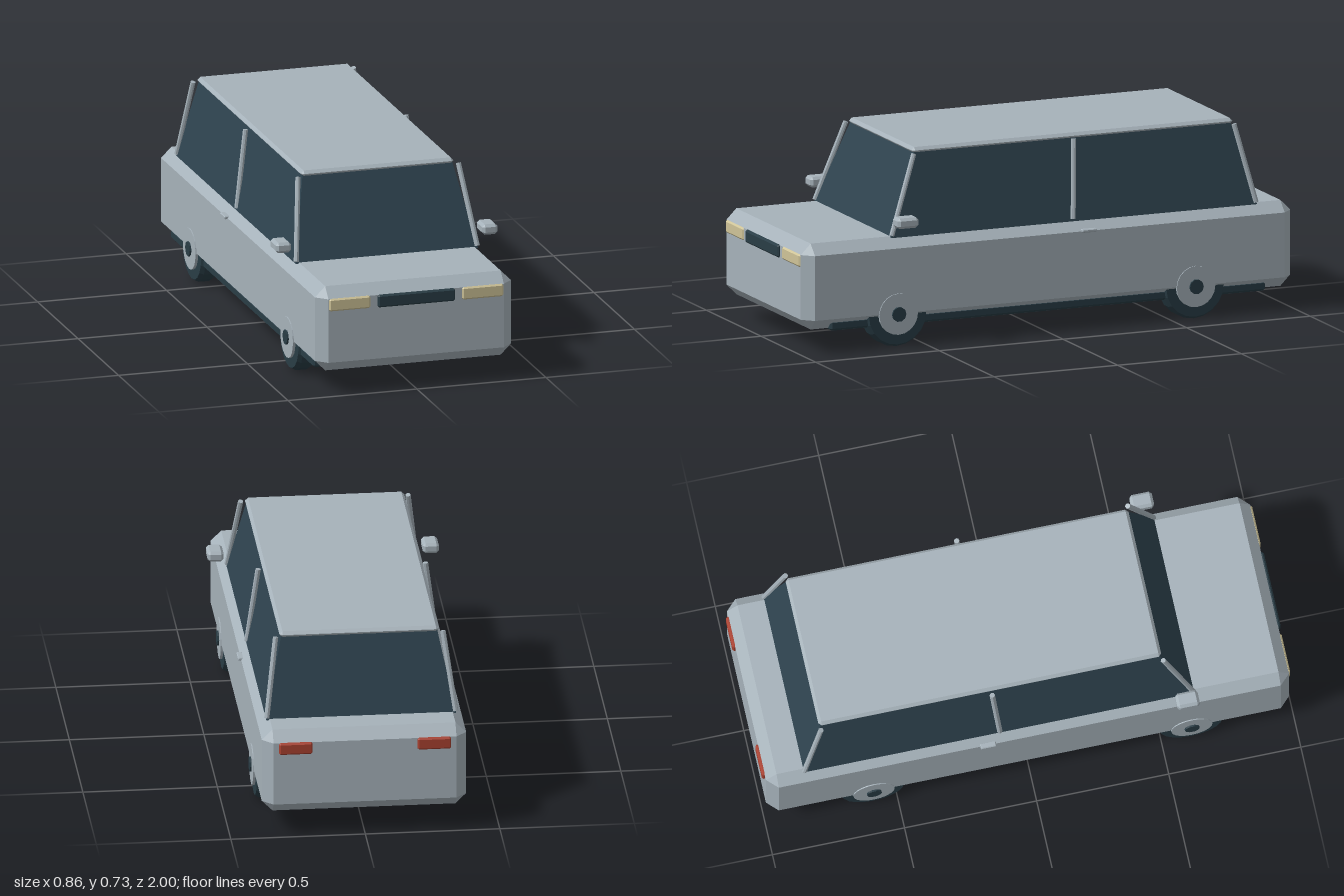
import * as THREE from 'three';
import { ConvexGeometry } from 'three/addons/geometries/ConvexGeometry.js';

const material = (name, color) => {
  const m = new THREE.MeshStandardMaterial({ color, flatShading: true });
  m.name = name;
  return m;
};

// Box between two corners with every edge cut at 45 degrees
function chamferBox(x0, x1, y0, y1, z0, z1, b) {
  const points = [];
  for (const [x, sx] of [[x0, 1], [x1, -1]])
    for (const [y, sy] of [[y0, 1], [y1, -1]])
      for (const [z, sz] of [[z0, 1], [z1, -1]]) {
        points.push(
          new THREE.Vector3(x, y + sy * b, z + sz * b),
          new THREE.Vector3(x + sx * b, y, z + sz * b),
          new THREE.Vector3(x + sx * b, y + sy * b, z));
      }
  return new ConvexGeometry(points);
}

// Round bar between two points
function bar(a, b, radius) {
  const from = new THREE.Vector3(...a), to = new THREE.Vector3(...b);
  const dir = to.clone().sub(from);
  const g = new THREE.CylinderGeometry(radius, radius, dir.length(), 8);
  g.applyQuaternion(new THREE.Quaternion().setFromUnitVectors(
    new THREE.Vector3(0, 1, 0), dir.normalize()));
  const mid = from.add(to).multiplyScalar(0.5);
  return g.translate(mid.x, mid.y, mid.z);
}

export function createModel() {
  const paint = material('silver paint', 0xa6b2ba);
  const glass = material('dark glass', 0x2f4450);
  const rubber = material('dark trim', 0x293d46);
  const cream = material('headlight cream', 0xcfc498);
  const red = material('tail light red', 0xa8402f);

  const car = new THREE.Group();
  car.name = 'car';
  const add = (name, geometry, mat, parent = car) => {
    const mesh = new THREE.Mesh(geometry, mat);
    mesh.name = name;
    parent.add(mesh);
    return mesh;
  };

  // Body shell and underside
  add('body', chamferBox(-0.38, 0.38, 0.095, 0.42, -0.99, 0.99, 0.04), paint);
  add('underside', chamferBox(-0.365, 0.365, 0.087, 0.125, -0.88, 0.88, 0.008), rubber);

  // Tapered cabin glass and the roof
  const cabin = [];
  for (const s of [-1, 1]) {
    cabin.push(
      new THREE.Vector3(s * 0.353, 0.415, 0.63), new THREE.Vector3(s * 0.353, 0.415, -0.85),
      new THREE.Vector3(s * 0.29, 0.72, 0.51), new THREE.Vector3(s * 0.29, 0.72, -0.77));
  }
  add('cabinGlass', new ConvexGeometry(cabin), glass);
  add('roof', chamferBox(-0.296, 0.296, 0.712, 0.736, -0.78, 0.518, 0.011), paint);

  // Grille
  add('grille', chamferBox(-0.15, 0.15, 0.333, 0.381, 0.97, 1, 0.006), rubber);

  // Wheel profile: radius, then width
  const tyreProfile = [[0, -0.035], [0.116, -0.035], [0.125, -0.02], [0.125, 0.02], [0.116, 0.035], [0, 0.035]]
    .map(([r, w]) => new THREE.Vector2(r, w));
  const tyreGeometry = new THREE.LatheGeometry(tyreProfile, 20);
  const discGeometry = new THREE.CylinderGeometry(0.078, 0.078, 0.02, 20);
  const capGeometry = new THREE.CylinderGeometry(0.028, 0.028, 0.02, 10);

  for (const s of [-1, 1]) {
    const side = s > 0 ? 'left' : 'right';

    // Lights
    const [h0, h1] = s > 0 ? [0.178, 0.338] : [-0.338, -0.178];
    add(side + 'Headlight', chamferBox(h0, h1, 0.333, 0.381, 0.97, 0.996, 0.006), cream);
    const [t0, t1] = s > 0 ? [0.195, 0.32] : [-0.32, -0.195];
    add(side + 'TailLight', chamferBox(t0, t1, 0.335, 0.381, -1, -0.97, 0.006), red);

    // Window pillars, standing just outside the glass
    for (const [name, zBottom, zTop] of [['Front', 0.627, 0.52], ['Middle', -0.107, -0.127], ['Rear', -0.847, -0.775]])
      add(side + name + 'Pillar', bar([s * 0.351, 0.423, zBottom], [s * 0.311, 0.717, zTop], 0.01), paint);

    // Door mirror and handle
    const [m0, m1] = s > 0 ? [0.37, 0.43] : [-0.43, -0.37];
    add(side + 'Mirror', chamferBox(m0, m1, 0.462, 0.502, 0.55, 0.635, 0.01), paint);
    const [d0, d1] = s > 0 ? [0.37, 0.392] : [-0.392, -0.37];
    add(side + 'DoorHandle', chamferBox(d0, d1, 0.376, 0.388, -0.187, -0.128, 0.003), paint);

    // Wheels
    for (const [end, z] of [['Front', 0.613], ['Rear', -0.59]]) {
      const wheel = new THREE.Group();
      wheel.name = side + end + 'Wheel';
      wheel.position.set(s * 0.339, 0.132, z);
      wheel.rotation.z = -s * Math.PI / 2;
      add('tyre', tyreGeometry, rubber, wheel);
      add('hubDisc', discGeometry, paint, wheel).position.y = 0.035;
      add('hubCap', capGeometry, rubber, wheel).position.y = 0.042;
      car.add(wheel);
    }
  }
  return car;
}
